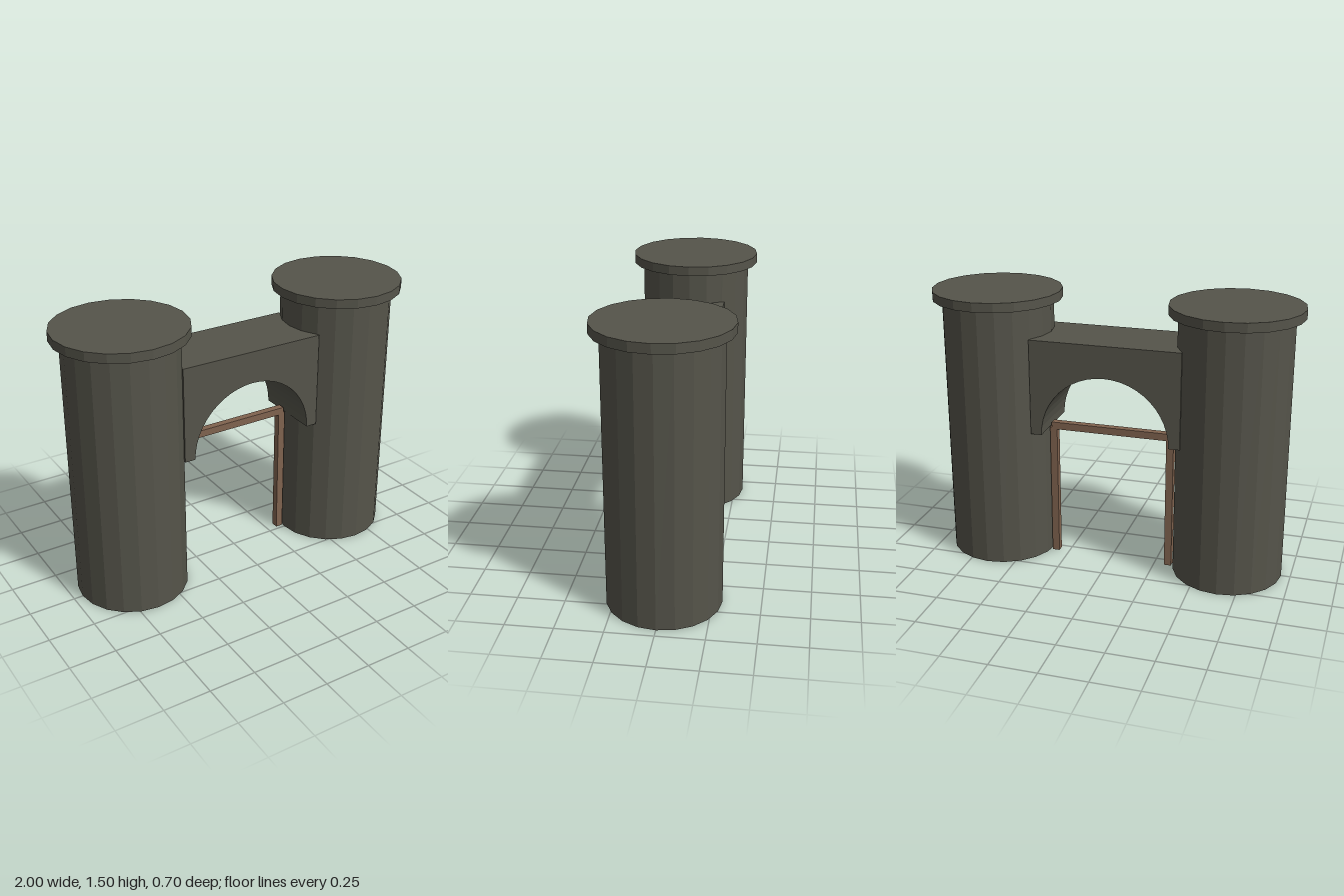
import * as THREE from 'three';

export function createModel() {
  const stone = new THREE.MeshStandardMaterial({ color: 0x55544a, flatShading: true });
  stone.name = 'stone';
  const wood = new THREE.MeshStandardMaterial({ color: 0x80634f, flatShading: true });
  wood.name = 'wood';

  const model = new THREE.Group();
  model.name = 'gatehouse';
  const add = (name, geometry, material, x, y, z) => {
    const mesh = new THREE.Mesh(geometry, material);
    mesh.name = name;
    mesh.position.set(x, y, z);
    model.add(mesh);
  };

  // Twin towers with caps, and the door posts beside them
  for (const [side, s] of [['left', 1], ['right', -1]]) {
    add(side + 'Tower', new THREE.CylinderGeometry(0.3, 0.3, 1.45, 20), stone, 0.65 * s, 0.725, 0);
    add(side + 'TowerCap', new THREE.CylinderGeometry(0.35, 0.35, 0.05, 20), stone, 0.65 * s, 1.47, 0);
    add(side + 'DoorPost', new THREE.BoxGeometry(0.04, 0.75, 0.04), wood, 0.327 * s, 0.375, -0.04);
  }

  // Arched bridge between the towers
  const arch = new THREE.Shape();
  arch.moveTo(-0.41, 0);
  arch.lineTo(-0.35, 0);
  arch.absarc(0, 0, 0.35, Math.PI, 0, true);
  arch.lineTo(0.41, 0);
  arch.lineTo(0.41, 0.525);
  arch.lineTo(-0.41, 0.525);
  arch.closePath();
  const archGeometry = new THREE.ExtrudeGeometry(arch, { depth: 0.38, bevelEnabled: false, curveSegments: 12 });
  add('archBridge', archGeometry, stone, 0, 0.75, -0.19);

  // Lintel across the door posts
  add('doorLintel', new THREE.BoxGeometry(0.675, 0.04, 0.04), wood, 0, 0.76, -0.04);

  return model;
}
